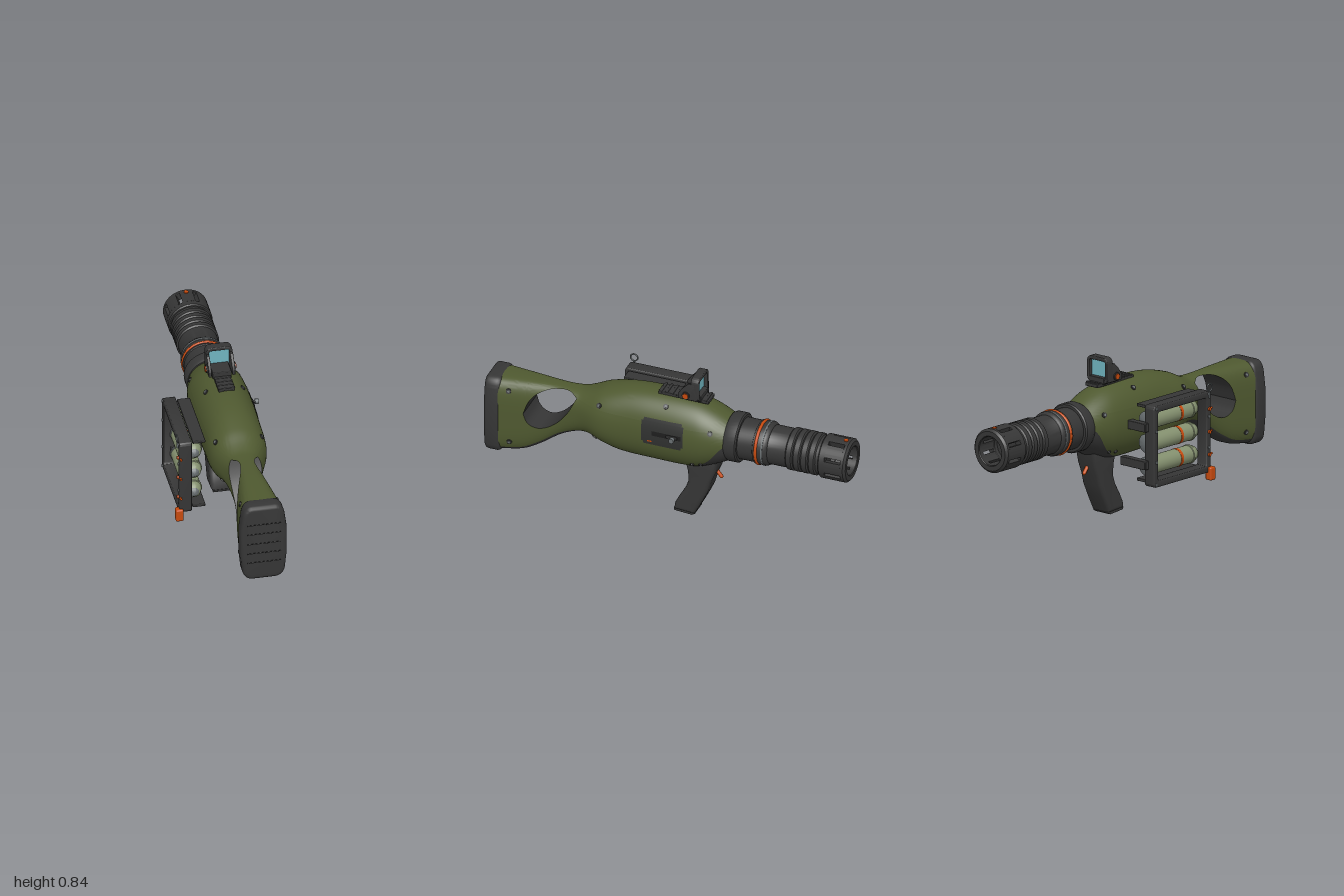
import * as THREE from 'three';
import { mergeVertices, toCreasedNormals } from 'three/addons/utils/BufferGeometryUtils.js';
import { RoundedBoxGeometry } from 'three/addons/geometries/RoundedBoxGeometry.js';

const paint = (name, color, side = THREE.FrontSide) => Object.assign(new THREE.MeshStandardMaterial({ color, side }), { name });
const CX = 0.07, CY = 0.505; // centre line of body and barrel

// Smooth curve through [position, value] pairs, positions descending
function track(p) {
  const slope = i => {
    const a = p[Math.max(i - 1, 0)], b = p[Math.min(i + 1, p.length - 1)];
    return (b[1] - a[1]) / (b[0] - a[0]);
  };
  return z => {
    if (z >= p[0][0]) return p[0][1];
    if (z <= p.at(-1)[0]) return p.at(-1)[1];
    const i = p.findIndex((q, k) => z <= q[0] && z >= p[k + 1][0]);
    const [x0, y0] = p[i], [x1, y1] = p[i + 1], d = x1 - x0, t = (z - x0) / d, u = 1 - t;
    return y0 * (1 + 2 * t) * u * u + slope(i) * d * t * u * u + y1 * t * t * (3 - 2 * t) - slope(i + 1) * d * t * t * u;
  };
}

// Body profile along z: top, bottom, half width, squareness, colour split, stock opening
const top = track([[.93, .605], [.7, .605], [.5, .6], [.44, .617], [.35, .657], [.2, .692], [0, .7], [-.15, .69], [-.25, .66], [-.37, .6]]);
const bottom = track([[.93, .165], [.8, .185], [.7, .238], [.6, .31], [.5, .357], [.43, .365], [.35, .333], [.25, .303], [.1, .295], [-.15, .296], [-.25, .33], [-.37, .39]]);
const halfW = track([[.93, .117], [.8, .1], [.62, .077], [.5, .095], [.36, .146], [.2, .153], [-.18, .154], [-.28, .138], [-.37, .112]]);
const square = track([[.93, 4], [.6, 3], [.4, 2.3], [.1, 2.15], [-.37, 2]]);
const split = track([[.93, .195], [.8, .213], [.7, .265], [.6, .336], [.5, .38], [.43, .386], [.3, .328], [.1, .31], [-.1, .312], [-.18, .34], [-.25, .4], [-.31, .48], [-.37, .53]]);
const holeLow = track([[.785, .43], [.77, .387], [.74, .36], [.7, .352], [.65, .37], [.6, .41], [.55, .475], [.52, .53], [.5, .575]]);
const holeHigh = track([[.785, .43], [.76, .5], [.72, .55], [.66, .583], [.6, .593], [.54, .591], [.5, .575]]);

const spow = (v, e) => Math.sign(v) * Math.abs(v) ** e;
const phi = (y, z) => {
  const u = (2 * y - top(z) - bottom(z)) / (top(z) - bottom(z));
  return Math.asin(THREE.MathUtils.clamp(spow(u, square(z) / 2), -1, 1));
};
function skin(a, z) {
  const e = 2 / square(z), t = top(z), b = bottom(z);
  return [CX + halfW(z) * spow(Math.cos(a), e), (t + b) / 2 + (t - b) / 2 * spow(Math.sin(a), e), z];
}
const skinX = (y, z) => skin(phi(y, z), z)[0] - CX;

// Surface from a point rule over z stations and a 0..1 parameter
function patch(zs, n, rule) {
  const pos = [], idx = [];
  zs.forEach((z, i) => {
    for (let j = 0; j <= n; j++) {
      pos.push(...rule(z, j / n));
      if (i && j) {
        const d = i * (n + 1) + j, c = d - 1, b = d - n - 1, a = b - 1;
        idx.push(a, c, b, b, c, d);
      }
    }
  });
  const g = new THREE.BufferGeometry();
  g.setAttribute('position', new THREE.Float32BufferAttribute(pos, 3));
  g.setIndex(idx);
  return toCreasedNormals(mergeVertices(g), 0.7);
}
const steps = (a, b, n) => Array.from({ length: n + 1 }, (_, i) => a + (b - a) * i / n);
const mix = (a, b, t) => a + (b - a) * t;

// Extrusion centred on z, bevelled inside its outline
function extrude(shape, depth, b = 0) {
  const g = new THREE.ExtrudeGeometry(shape, { depth: depth - 2 * b, bevelEnabled: b > 0, bevelSize: b, bevelThickness: b, bevelOffset: -b, bevelSegments: 3, curveSegments: 10 });
  return toCreasedNormals(g.translate(0, 0, -(depth - 2 * b) / 2), 0.6);
}
function roundRect(w, h, r, S = THREE.Shape) {
  const s = new S(), x = w / 2 - r, y = h / 2 - r;
  s.absarc(x, y, r, 0, Math.PI / 2).absarc(-x, y, r, Math.PI / 2, Math.PI);
  s.absarc(-x, -y, r, Math.PI, 1.5 * Math.PI).absarc(x, -y, r, 1.5 * Math.PI, 2 * Math.PI);
  s.closePath();
  return s;
}
// Side outline given as [z, y], extruded along x
const sideShape = pts => new THREE.Shape(pts.map(([z, y]) => new THREE.Vector2(-z, y)));
const sideExtrude = (s, w, b) => extrude(s, w, b).rotateY(Math.PI / 2);
// Turned part along z; profile is [radius, distance towards the muzzle]
const turned = (pts, seg = 40) => toCreasedNormals(new THREE.LatheGeometry(pts.map(p => new THREE.Vector2(...p)), seg).rotateX(-Math.PI / 2), 0.6);

export function createModel() {
  const root = new THREE.Group();
  const olive = paint('olive', 0x4f5930), dark = paint('charcoal', 0x363636), black = paint('black', 0x1d1d1d);
  const orange = paint('orange', 0xc74a0e), steel = paint('steel', 0x6a7072), green = paint('paleGreen', 0x84906f);
  const glass = paint('glass', 0x70b4c0, THREE.DoubleSide), panelMat = paint('panelCharcoal', 0x303130, THREE.DoubleSide);
  const add = (name, geo, mat, x = 0, y = 0, z = 0, parent = root) => {
    const m = new THREE.Mesh(geo, mat);
    m.name = name;
    m.position.set(x, y, z);
    parent.add(m);
    return m;
  };
  const box = (name, mat, w, h, d, x, y, z, r = 0.004) => add(name, new RoundedBoxGeometry(w, h, d, 2, r), mat, x, y, z);
  const rod = (name, mat, r, len, x, y, z, axis = 'x') => {
    const g = new THREE.CylinderGeometry(r, r, len, 20);
    if (axis === 'x') g.rotateZ(Math.PI / 2);
    if (axis === 'z') g.rotateX(Math.PI / 2);
    return add(name, g, mat, x, y, z);
  };

  // Body shell with the stock opening
  const holeZ = Array.from({ length: 29 }, (_, i) => .6425 + .1425 * Math.cos(Math.PI * i / 28));
  const zs = [...steps(.93, .8, 8), ...holeZ, ...steps(.485, -.37, 48)];
  add('upperShell', patch(zs, 32, (z, t) => { const a = phi(holeHigh(z), z); return skin(mix(a, Math.PI - a, t), z); }), olive);
  add('sideShellLeft', patch(zs, 14, (z, t) => skin(mix(phi(split(z), z), phi(holeLow(z), z), t), z)), olive);
  add('sideShellRight', patch(zs, 14, (z, t) => skin(Math.PI - mix(phi(holeLow(z), z), phi(split(z), z), t), z)), olive);
  add('underside', patch(zs, 20, (z, t) => { const a = phi(split(z), z); return skin(mix(Math.PI - a, 2 * Math.PI + a, t), z); }), dark);
  add('openingFloor', patch(holeZ, 4, (z, t) => [CX + skinX(holeLow(z), z) * (1 - 2 * t), holeLow(z), z]), dark);
  add('openingCeiling', patch(holeZ, 4, (z, t) => [CX + skinX(holeHigh(z), z) * (2 * t - 1), holeHigh(z), z]), dark);

  // Body screws on both sides
  for (const [z, y] of [[.865, .55], [.86, .245], [.355, .595], [.39, .38], [-.005, .66], [-.26, .57], [-.155, .352], [-.2, .358]]) {
    const x = skinX(y, z), e = .004, r = y > .34 && y < .36 ? .01 : .014;
    for (const s of [1, -1]) {
      const n = new THREE.Vector3(s, (skinX(y - e, z) - skinX(y + e, z)) / (2 * e), (skinX(y, z - e) - skinX(y, z + e)) / (2 * e)).normalize();
      for (const [name, rr, h, mat] of [['screw', r, .01, dark], ['screwSocket', r * .5, .013, steel]])
        add(name, new THREE.CylinderGeometry(rr, rr, h, 16), mat, CX + s * x, y, z).quaternion.setFromUnitVectors(new THREE.Vector3(0, 1, 0), n);
    }
  }

  // Side panel with slot and charging handle
  const plate = (name, mat, z0, z1, y0, y1, off) => add(name, patch(steps(z0, z1, 10), 10, (z, t) => {
    const y = mix(y0, y1, t);
    return [CX + skinX(y, z) + off, y, z];
  }), mat);
  plate('sidePanel', panelMat, .11, -.12, .465, .585, .003);
  plate('sidePanelMiddle', panelMat, .1, -.11, .45, .6, .0028);
  plate('panelSlot', black, .05, -.11, .508, .534, .005);
  plate('panelMark', orange, .075, .05, .468, .476, .006);
  rod('handleStem', dark, .009, .045, .235, .52, -.07);
  rod('handleKnob', steel, .014, .02, .254, .52, -.07);
  box('handleLever', dark, .014, .016, .06, .23, .52, -.06);

  // Butt pad with grooves
  const pad = new THREE.Shape();
  pad.moveTo(-.06, .607).lineTo(-.06, .607);
  pad.quadraticCurveTo(-.1, .605, -.11, .55).lineTo(-.122, .46).lineTo(-.122, .31).lineTo(-.112, .21);
  pad.quadraticCurveTo(-.1, .16, -.055, .16).lineTo(.055, .16).quadraticCurveTo(.1, .16, .112, .21);
  pad.lineTo(.122, .31).lineTo(.122, .46).lineTo(.11, .55).quadraticCurveTo(.1, .605, .06, .607);
  add('buttPad', extrude(pad, .088, .02), dark, CX, 0, .955);
  for (const y of [.5, .443, .383, .325, .268]) box('padGroove', black, .175, .005, .004, CX, y, .999, .001);

  // Barrel, rings and ribs
  const profile = [[0, .33], [.125, .33], [.132, .345], [.132, .395], [.125, .402], [.111, .402], [.111, .485], [.117, .488], [.117, .55], [.11, .562], [.104, .565], [.104, .665]];
  for (let i = 0; i < 4; i++) profile.push([.112, .672 + i * .042], [.112, .698 + i * .042], [.104, .705 + i * .042]);
  profile.push([.104, .86], [0, .86]);
  add('barrel', turned(profile), dark, CX, CY);
  add('barrelBand', new THREE.TorusGeometry(.114, .009, 10, 40), orange, CX, CY, -.505);
  add('barrelSteelRing', turned([[.1, .534], [.119, .534], [.119, .542], [.1, .542]]), steel, CX, CY);

  // Slotted muzzle
  const ring = (name, a, b, ca, cb) => add(name, turned([[.076, a], [.117 - ca, a], [.117, a + ca], [.117, b - cb], [.117 - cb, b], [.08, b], [.076, b - .004], [.076, a]]), dark, CX, CY);
  ring('muzzleRearRing', .848, .885, .006, .001);
  ring('muzzleFrontRing', .972, 1, .001, .012);
  for (let i = 0; i < 8; i++) {
    const a = i * Math.PI / 4, w = Math.PI / 8 - .095, s = new THREE.Shape();
    s.absarc(0, 0, .117, a - w, a + w, false).absarc(0, 0, .076, a + w, a - w, true);
    add('muzzleBar', extrude(s, .09), dark, CX, CY, -.929);
  }
  rod('frontDot', orange, .012, .012, CX, CY + .115, -.965, 'y');

  // Pistol grip and trigger
  const grip = sideShape([[-.09, .34], [-.108, .27], [-.112, .21], [-.095, .16], [-.06, .1], [-.037, .055], [-.032, .02], [-.145, .012], [-.165, .05], [-.195, .11], [-.222, .17], [-.238, .23], [-.262, .29], [-.275, .36]]);
  add('grip', sideExtrude(grip, .13, .02), dark, CX);
  add('gripBase', sideExtrude(sideShape([[-.03, .022], [-.033, .008], [-.13, 0], [-.147, .01], [-.143, .022]]), .108, .004), dark, CX);
  const pull = new THREE.CatmullRomCurve3([[-.2, .275], [-.238, .278], [-.256, .262], [-.274, .24]].map(([z, y]) => new THREE.Vector3(0, y, z)));
  add('trigger', new THREE.TubeGeometry(pull, 16, .01, 8), orange, CX);
  add('triggerTip', new THREE.SphereGeometry(.01, 10, 8), orange, CX, .24, -.274);

  // Sight rail and reflex sight
  box('sightRail', dark, .084, .02, .28, CX, .699, -.08);
  for (let i = 0; i < 9; i++) box('railRib', dark, .09, .008, .014, CX, .708, .045 - i * .031, .002);
  box('sightBase', dark, .1, .035, .12, CX, .717, -.12);
  const frame = roundRect(.14, .138, .028);
  frame.holes.push(roundRect(.108, .1, .01, THREE.Path));
  add('sightFrame', extrude(frame, .046, .004), dark, CX, .772, -.153);
  add('sightGlass', new THREE.BoxGeometry(.11, .102, .006), glass, CX, .772, -.152);
  const cheek = sideShape([[-.06, .71], [-.06, .738], [-.085, .775], [-.115, .805], [-.15, .81], [-.17, .71]]);
  for (const s of [1, -1]) {
    add('sightCheek', sideExtrude(cheek, .016, .003), dark, CX + s * .062);
    rod('sightKnobSeat', dark, .021, .012, CX + s * .071, .736, -.105);
    rod('sightKnob', orange, .015, .016, CX + s * .074, .736, -.105);
  }

  // Side carrier: open frame, shelves and arms
  const carrier = roundRect(.44, .435, .02);
  carrier.holes.push(roundRect(.37, .365, .012, THREE.Path));
  add('carrierFrame', sideExtrude(carrier, .068, .006), dark, -.208, .393, .137);
  for (const y of [.593, .196]) box('carrierShelf', dark, .068, .016, .395, -.134, y, .137);
  for (const y of [.494, .293]) {
    box('carrierArm', dark, .17, .046, .04, -.115, y, -.09);
    box('armFoot', dark, .04, .046, .06, -.185, y, -.075);
  }
  for (const z of [-.066, .34]) for (const y of [.19, .31, .475, .596]) rod('carrierScrew', steel, .008, .008, -.243, y, z);
  add('pinRing', new THREE.TorusGeometry(.02, .004, 8, 24).rotateY(Math.PI / 2), steel, -.25, .632, .335);
  rod('pinStem', steel, .005, .04, -.248, .595, .335, 'y');
  box('latch', orange, .04, .07, .04, -.242, .17, .352, .008);

  // Spare rounds
  for (const y of [.515, .393, .272]) {
    const x = -.157;
    add('roundCase', turned([[0, -.27], [.047, -.27], [.047, .04], [0, .04]], 28), green, x, y);
    add('roundNose', turned([[.027, -.318], [.037, -.31], [.045, -.29], [.047, -.27]], 28), green, x, y);
    add('roundTip', turned([[0, -.334], [.012, -.331], [.021, -.325], [.027, -.318]], 28), steel, x, y);
    add('roundBase', turned([[.046, .035], [.05, .037], [.05, .05], [.038, .058], [0, .06]], 28), steel, x, y);
    add('roundCollar', turned([[.046, -.283], [.05, -.28], [.05, -.268], [.046, -.265]], 28), green, x, y);
    add('roundBand', turned([[.046, -.19], [.0485, -.19], [.0485, -.172], [.046, -.172]], 28), orange, x, y);
    rod('carrierPin', orange, .009, .012, -.246, y, .34);
    rod('carrierPinEnd', orange, .006, .02, -.235, y, .36, 'z');
  }
  return root;
}
